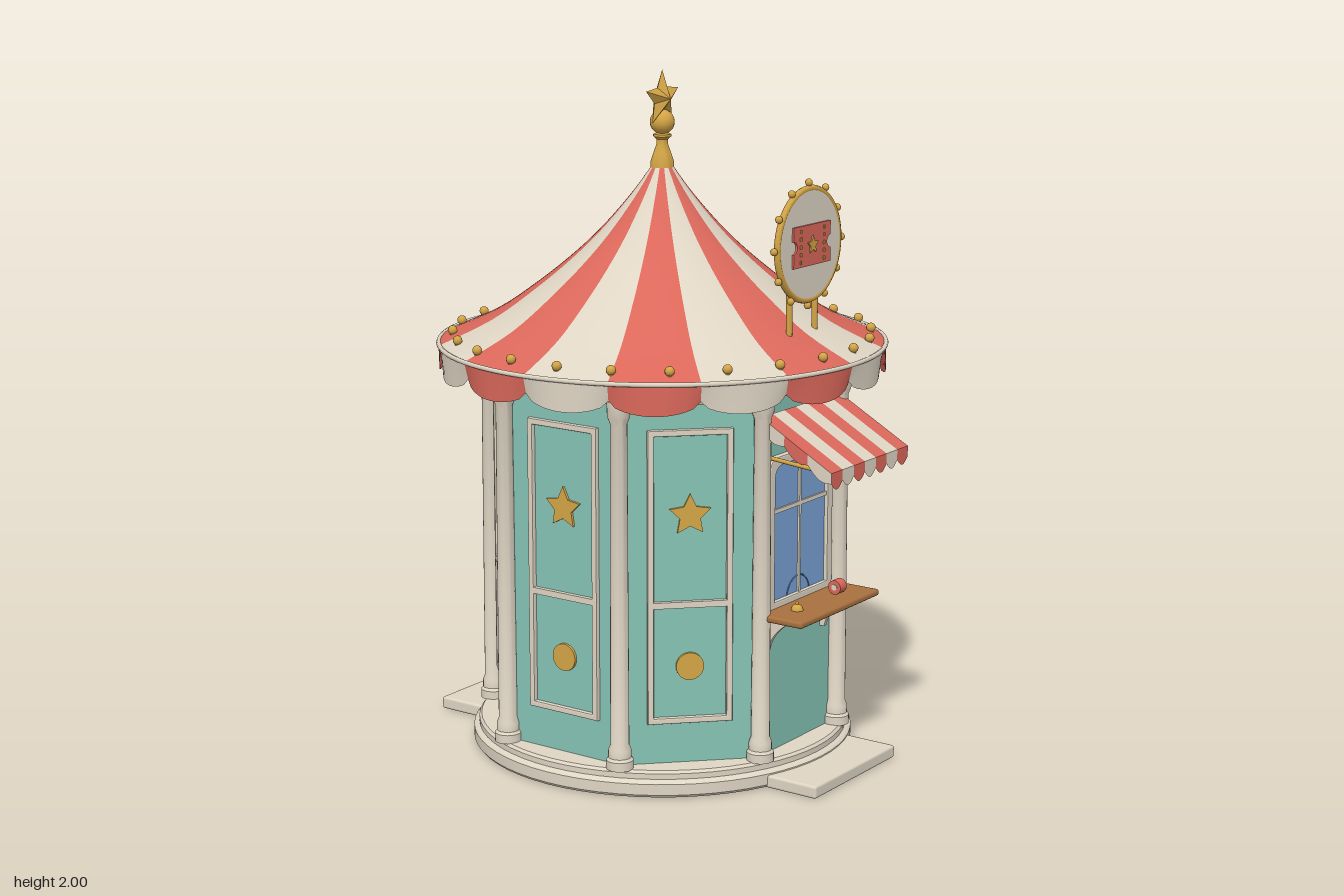
import * as THREE from 'three';
import { toCreasedNormals } from 'three/addons/utils/BufferGeometryUtils.js';
import { RoundedBoxGeometry } from 'three/addons/geometries/RoundedBoxGeometry.js';

const mat = (name, color, side = THREE.FrontSide) => {
  const m = new THREE.MeshStandardMaterial({ color, side });
  m.name = name;
  return m;
};
const cream = mat('cream', 0xdfd5c4, THREE.DoubleSide);
const red = mat('red', 0xdb685b, THREE.DoubleSide);
const teal = mat('teal', 0x86c4b5);
const gold = mat('gold', 0xd4a546);
const wood = mat('wood', 0xa8703f);
const glass = mat('glass', 0x7aa4d8);
const blueLine = mat('blueLine', 0x4f79b0);

const V2 = (x, y) => new THREE.Vector2(x, y);
const V3 = (x, y, z) => new THREE.Vector3(x, y, z);

function add(parent, name, geo, material, x = 0, y = 0, z = 0) {
  const m = new THREE.Mesh(geo, material);
  m.name = name;
  m.position.set(x, y, z);
  parent.add(m);
  return m;
}
const box = (w, h, d) => new THREE.BoxGeometry(w, h, d);
const lathe = (pts, seg = 32) =>
  toCreasedNormals(new THREE.LatheGeometry(pts.map(p => V2(...p)), seg), 0.6);
const extrude = (shape, depth, bevel = 0) => new THREE.ExtrudeGeometry(shape, {
  depth, curveSegments: 10, bevelEnabled: bevel > 0, bevelSize: bevel, bevelThickness: bevel, bevelSegments: 2, bevelOffset: -bevel,
});
const rod = (a, b, r) => new THREE.TubeGeometry(new THREE.LineCurve3(a, b), 1, r, 10);

function starPoints(R, r) {
  return Array.from({ length: 10 }, (_, i) => {
    const a = Math.PI / 2 + i * Math.PI / 5, q = i % 2 ? r : R;
    return V2(q * Math.cos(a), q * Math.sin(a));
  });
}
const starPlate = (R, d = 0.008) => extrude(new THREE.Shape(starPoints(R, R * 0.5)), d);

// Rectangle with rounded upper corners, standing on y0
function archPath(Type, hw, y0, y1, r) {
  const p = new Type();
  p.moveTo(-hw, y0).lineTo(hw, y0).lineTo(hw, y1 - r);
  p.quadraticCurveTo(hw, y1, hw - r, y1).lineTo(-hw + r, y1);
  p.quadraticCurveTo(-hw, y1, -hw, y1 - r).lineTo(-hw, y0);
  return p;
}
function frame(hw, y0, y1, t, depth, r = 0.002) {
  const s = archPath(THREE.Shape, hw, y0, y1, r);
  s.holes.push(archPath(THREE.Path, hw - t, y0 + t, y1 - t, r));
  return extrude(s, depth, 0.004);
}

// Sheet defined by a rule f(u, v); v = 0 is its top edge
function sheet(f, nu, nv) {
  const g = new THREE.PlaneGeometry(1, 1, nu, nv), p = g.attributes.position;
  for (let i = 0; i < p.count; i++) p.setXYZ(i, ...f(p.getX(i) + 0.5, 0.5 - p.getY(i)));
  g.computeVertexNormals();
  return g;
}

const STRIPES = 16, APOTHEM = 0.475;

function buildRoof(root) {
  const roof = new THREE.Group();
  roof.name = 'roof';
  root.add(roof);
  const profile = new THREE.SplineCurve([
    V2(0.657, 1.213), V2(0.5, 1.285), V2(0.36, 1.382), V2(0.25, 1.472), V2(0.165, 1.555), V2(0.08, 1.655), V2(0.02, 1.74),
  ]).getPoints(24);
  const step = 2 * Math.PI / STRIPES;
  for (let i = 0; i < STRIPES; i++) {
    const m = i % 2 ? red : cream;
    add(roof, 'roofStripe', new THREE.LatheGeometry(profile, 6, i * step, step), m);
    // Scalloped valance below the eave
    add(roof, 'valance', sheet((u, v) => {
      const a = (i + u) * step, r = 0.655 - 0.012 * v * (1 - Math.sin(Math.PI * u));
      return [r * Math.sin(a), 1.213 - v * (0.05 + 0.038 * Math.sqrt(Math.sin(Math.PI * u) + 1e-9)), r * Math.cos(a)];
    }, 12, 2), m);
  }
  add(roof, 'eaveRim', new THREE.TorusGeometry(0.654, 0.007, 8, 96), cream, 0, 1.213).rotation.x = Math.PI / 2;
  for (let i = 0; i < 24; i++) {
    const a = (i + 0.5) * Math.PI / 12, x = 0.613 * Math.sin(a), z = 0.613 * Math.cos(a);
    add(roof, 'bulbStem', new THREE.CylinderGeometry(0.008, 0.008, 0.025, 8), gold, x, 1.23, z);
    add(roof, 'bulb', new THREE.SphereGeometry(0.014, 12, 8), gold, x, 1.243, z);
  }
  // Finial with a faceted star
  add(roof, 'finial', lathe([[0, 1.7], [0.034, 1.7], [0.034, 1.735], [0.026, 1.76], [0.017, 1.785], [0.017, 1.8], [0.026, 1.808],
    [0.026, 1.815], [0.012, 1.82], [0, 1.83]]), gold);
  add(roof, 'finialBall', new THREE.SphereGeometry(0.036, 20, 14), gold, 0, 1.85);
  const pts = starPoints(0.083, 0.04), v = [];
  pts.forEach((p, i) => {
    const q = pts[(i + 1) % 10];
    v.push(p.x, p.y, 0, q.x, q.y, 0, 0, 0, 0.03, q.x, q.y, 0, p.x, p.y, 0, 0, 0, -0.03);
  });
  const star = new THREE.BufferGeometry();
  star.setAttribute('position', new THREE.Float32BufferAttribute(v, 3));
  star.computeVertexNormals();
  add(roof, 'finialStar', star, gold, 0, 1.917);
}

function buildSign(root) {
  const sign = new THREE.Group();
  sign.name = 'sign';
  sign.position.set(0, 1.54, 0.503);
  root.add(sign);
  add(sign, 'signDisc', new THREE.CylinderGeometry(0.157, 0.157, 0.016, 48), cream).rotation.x = Math.PI / 2;
  add(sign, 'signRim', new THREE.TorusGeometry(0.157, 0.01, 8, 48), gold);
  for (let i = 0; i < 12; i++) {
    const a = i * Math.PI / 6;
    add(sign, 'signBulb', new THREE.SphereGeometry(0.011, 10, 8), gold, 0.174 * Math.cos(a), 0.174 * Math.sin(a));
  }
  // Ticket plate with notched ends
  const t = new THREE.Shape();
  t.moveTo(-0.095, -0.058).lineTo(0.095, -0.058).lineTo(0.095, -0.018);
  t.absarc(0.095, 0, 0.018, -Math.PI / 2, Math.PI / 2, true);
  t.lineTo(0.095, 0.058).lineTo(-0.095, 0.058).lineTo(-0.095, 0.018);
  t.absarc(-0.095, 0, 0.018, Math.PI / 2, -Math.PI / 2, true);
  add(sign, 'ticket', extrude(t, 0.006), red, 0, 0, 0.008);
  add(sign, 'ticketStar', starPlate(0.027, 0.004), gold, 0, 0, 0.014);
  add(sign, 'backStar', starPlate(0.055, 0.006), red, 0, 0, -0.014);
  for (const s of [-1, 1]) {
    for (let k = -2; k <= 2; k++) add(sign, 'ticketDash', box(0.007, 0.01, 0.004), gold, s * 0.06, k * 0.022, 0.015);
    add(sign, 'signPost', new THREE.CylinderGeometry(0.009, 0.009, 0.3, 10), gold, s * 0.066, -0.13, -0.018);
  }
}

function buildAwning(root) {
  const awning = new THREE.Group();
  awning.name = 'awning';
  root.add(awning);
  const hw = 0.205, n = 7, w = 2 * hw / n, top = 1.078, low = 0.95, z0 = 0.485, z1 = 0.718;
  const slope = t => [top + (low - top) * t, z0 + (z1 - z0) * t];
  for (let i = 0; i < n; i++) {
    const m = i % 2 ? cream : red, x = u => -hw + (i + u) * w;
    add(awning, 'awningStripe', sheet((u, v) => [x(u), ...slope(v)], 1, 1), m);
    add(awning, 'awningValance', sheet((u, v) =>
      [x(u), low - v * (0.03 + 0.02 * Math.sin(Math.PI * u)), z1], 8, 1), m);
  }
  for (const s of [-1, 1]) {
    for (let k = 0; k < 3; k++) add(awning, 'awningSide', sheet((u, v) => {
      const [y, z] = slope((k + u) / 3);
      return [s * hw, y - v * (0.03 + 0.016 * Math.sin(Math.PI * u)), z];
    }, 8, 1), k === 1 ? red : cream);
    add(awning, 'awningArm', rod(V3(s * 0.19, 0.965, 0.47), V3(s * 0.19, 0.945, 0.705), 0.006), gold);
  }
}

function buildFront(wall) {
  add(wall, 'windowFrame', frame(0.165, 0.5, 0.95, 0.027, 0.014, 0.04), cream);
  add(wall, 'windowGlass', extrude(archPath(THREE.Shape, 0.14, 0.51, 0.93, 0.04), 0.006), glass);
  add(wall, 'mullion', box(0.009, 0.41, 0.012), cream, 0, 0.72, 0.006);
  add(wall, 'transom', box(0.276, 0.012, 0.012), cream, 0, 0.79, 0.006);
  add(wall, 'speakingArch', new THREE.TorusGeometry(0.06, 0.0025, 6, 24, Math.PI), blueLine, 0, 0.515, 0.006);
  add(wall, 'counter', new RoundedBoxGeometry(0.42, 0.02, 0.165, 2, 0.008), wood, 0, 0.498, 0.072);
  const b = new THREE.Shape();
  b.moveTo(0, 0.39).lineTo(0.015, 0.39).quadraticCurveTo(0.03, 0.455, 0.1, 0.49).lineTo(0, 0.49);
  for (const s of [-1, 1])
    add(wall, 'counterBracket', extrude(b, 0.014), cream, s * 0.15 - 0.007, 0, 0).rotation.y = -Math.PI / 2;
  // Bell and ticket roll on the counter
  add(wall, 'bell', new THREE.SphereGeometry(0.018, 16, 8, 0, 2 * Math.PI, 0, Math.PI / 2), gold, -0.11, 0.508, 0.075);
  add(wall, 'bellButton', new THREE.SphereGeometry(0.005, 8, 6), gold, -0.11, 0.528, 0.075);
  add(wall, 'ticketRoll', new THREE.CylinderGeometry(0.021, 0.021, 0.034, 20), red, 0.1, 0.529, 0.078).rotation.z = Math.PI / 2;
  add(wall, 'rollCore', new THREE.CylinderGeometry(0.009, 0.009, 0.038, 12), cream, 0.1, 0.529, 0.078).rotation.z = Math.PI / 2;
}

function buildDoor(wall) {
  add(wall, 'door', extrude(archPath(THREE.Shape, 0.155, 0.075, 1.055, 0.005), 0.014, 0.004), cream);
  for (const [y0, y1] of [[0.14, 0.5], [0.55, 0.99]]) {
    add(wall, 'doorPanel', box(0.22, y1 - y0, 0.008), teal, 0, (y0 + y1) / 2, 0.021);
    add(wall, 'doorMoulding', frame(0.115, y0 - 0.005, y1 + 0.005, 0.012, 0.008), cream, 0, 0, 0.018);
  }
  add(wall, 'doorStar', starPlate(0.05), gold, 0, 0.765, 0.024);
  add(wall, 'doorKnob', new THREE.SphereGeometry(0.015, 14, 10), gold, 0.135, 0.54, 0.035);
}

function buildPanel(wall) {
  add(wall, 'panelFrame', frame(0.122, 0.195, 1.05, 0.018, 0.01), cream);
  add(wall, 'panelRail', box(0.22, 0.018, 0.014), cream, 0, 0.545, 0.007);
  add(wall, 'panelStar', starPlate(0.062), gold, 0, 0.803, 0);
  add(wall, 'panelDisc', new THREE.CylinderGeometry(0.04, 0.04, 0.009, 28), gold, 0, 0.362, 0.004).rotation.x = Math.PI / 2;
}

export function createModel() {
  const model = new THREE.Group();
  model.name = 'ticketBooth';
  const root = new THREE.Group();
  root.name = 'booth';
  root.position.z = -0.018;
  model.add(root);

  // Base and steps
  add(root, 'base', lathe([[0, 0.002], [0.562, 0.002], [0.568, 0.01], [0.568, 0.042], [0.56, 0.05], [0.552, 0.052], [0.552, 0.068],
    [0.545, 0.076], [0, 0.076]], 64), cream);
  for (const s of [-1, 1]) add(root, 'step', new RoundedBoxGeometry(0.434, 0.038, 0.26, 2, 0.008), cream, 0, 0.019, s * 0.557);

  // Eight-sided body, cornice and columns
  const eighth = Math.PI / 4;
  const body = new THREE.CylinderGeometry(APOTHEM / Math.cos(eighth / 2), APOTHEM / Math.cos(eighth / 2), 1.09, 8);
  add(root, 'body', toCreasedNormals(body, 0.3), teal, 0, 0.615).rotation.y = eighth / 2;
  add(root, 'cornice', lathe([[0, 1.13], [0.535, 1.13], [0.545, 1.15], [0.545, 1.18], [0.56, 1.2], [0, 1.2]], 48), cream);
  const column = lathe([[0.039, 0.074], [0.039, 0.1], [0.033, 0.108], [0.033, 0.13], [0.027, 0.145], [0.024, 1.075],
    [0.032, 1.095], [0.034, 1.14]], 20);
  for (let i = 0; i < 8; i++) {
    const a = (i + 0.5) * eighth;
    add(root, 'column', column, cream, 0.53 * Math.sin(a), 0, 0.53 * Math.cos(a));
    const wall = new THREE.Group();
    wall.name = i === 0 ? 'frontWall' : i === 4 ? 'doorWall' : 'panelWall';
    wall.rotation.y = i * eighth;
    wall.position.set(APOTHEM * Math.sin(i * eighth), 0, APOTHEM * Math.cos(i * eighth));
    root.add(wall);
    (i === 0 ? buildFront : i === 4 ? buildDoor : buildPanel)(wall);
  }
  buildAwning(root);
  buildRoof(root);
  buildSign(root);
  return model;
}
